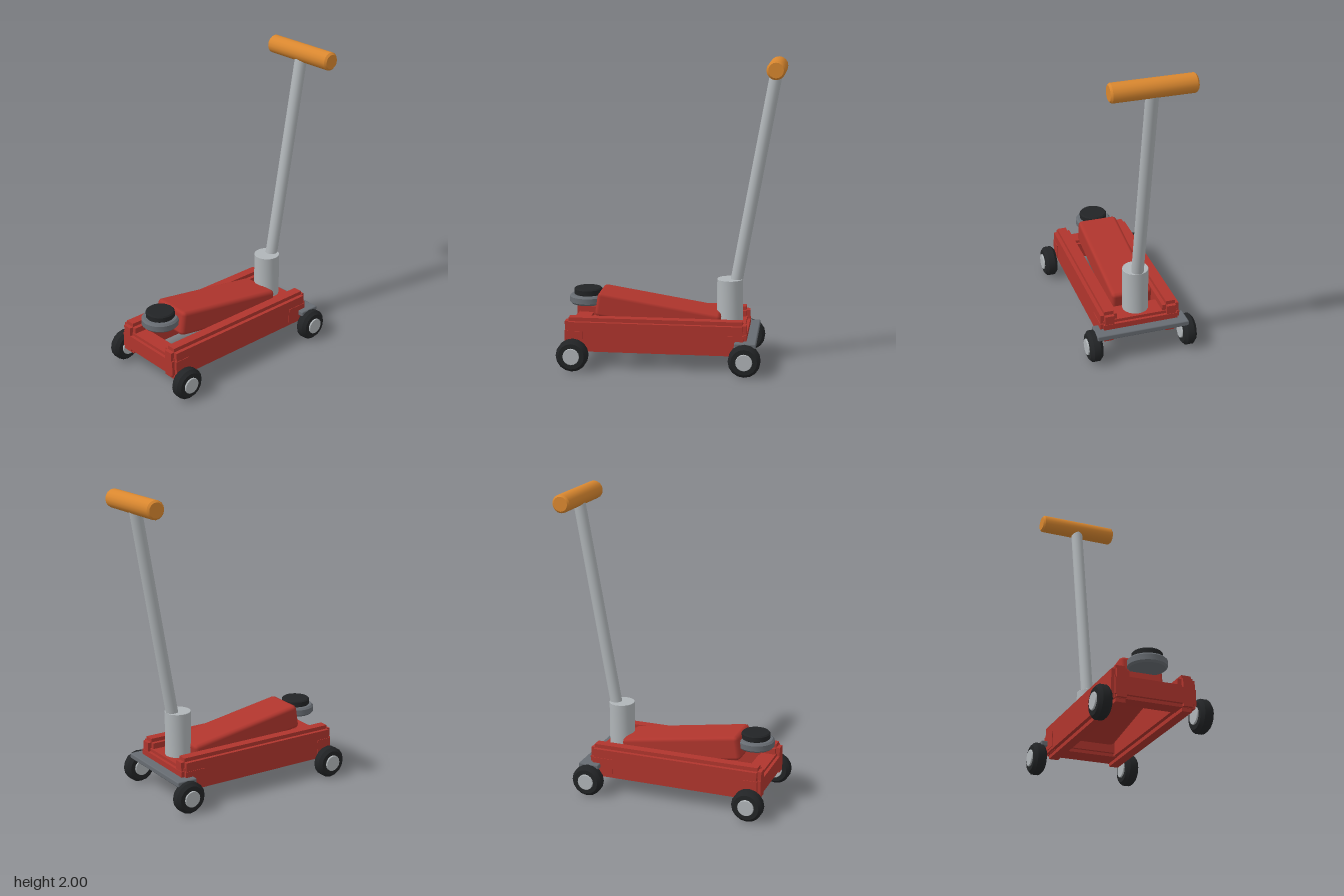
import * as THREE from 'three';
import { toCreasedNormals } from 'three/addons/utils/BufferGeometryUtils.js';
import { RoundedBoxGeometry } from 'three/addons/geometries/RoundedBoxGeometry.js';

const mat = (name, color) => {
  const m = new THREE.MeshStandardMaterial({ color });
  m.name = name;
  return m;
};

export function createModel() {
  const red = mat('red paint', 0xb0352d);
  const steel = mat('light steel', 0xb0b5b8);
  const darkSteel = mat('dark steel', 0x676c72);
  const rubber = mat('black rubber', 0x222426);
  const orange = mat('orange grip', 0xd9872f);

  const model = new THREE.Group();
  model.name = 'floorJack';

  const add = (name, geometry, material, x, y, z, parent = model) => {
    const mesh = new THREE.Mesh(geometry, material);
    mesh.name = name;
    mesh.position.set(x, y, z);
    parent.add(mesh);
    return mesh;
  };

  // Disc or rod along y with chamfered rims, centred on its origin
  const chamferedCylinder = (r, h, c, sides) => {
    const profile = [[0, -h / 2], [r - c, -h / 2], [r, -h / 2 + c], [r, h / 2 - c], [r - c, h / 2], [0, h / 2]];
    const lathe = new THREE.LatheGeometry(profile.map(([a, b]) => new THREE.Vector2(a, b)), sides);
    return toCreasedNormals(lathe, 0.6);
  };

  // Box with stepped edges: three crossing boxes, each full length on one axis
  const steppedBox = (name, size, step, x, y, z) => {
    const group = new THREE.Group();
    group.name = name;
    group.position.set(x, y, z);
    for (let axis = 0; axis < 3; axis++) {
      const s = size.map((v, i) => (i === axis ? v : v - 2 * step));
      add(name + 'Block', new THREE.BoxGeometry(...s), red, 0, 0, 0, group);
    }
    model.add(group);
  };

  // Frame: two side rails and two cross members
  for (const side of [-1, 1]) {
    steppedBox(side > 0 ? 'frontRail' : 'backRail', [1.18, 0.226, 0.112], 0.025, -0.097, 0.221, side * 0.21);
  }
  steppedBox('leadingCrossMember', [0.14, 0.14, 0.54], 0.02, -0.617, 0.2, 0);
  steppedBox('trailingCrossMember', [0.186, 0.14, 0.54], 0.02, 0.403, 0.2, 0);

  // Sloping lift arm
  add('liftArm', new RoundedBoxGeometry(0.82, 0.165, 0.277, 1, 0.026), red, -0.095, 0.333, 0).rotation.z = -0.16;

  // Saddle and its rubber pad
  add('saddle', chamferedCylinder(0.122, 0.06, 0.012, 24), darkSteel, -0.575, 0.408, 0);
  add('saddlePad', chamferedCylinder(0.094, 0.046, 0.008, 24), rubber, -0.574, 0.458, 0);

  // Wheels with hubs showing on both faces
  for (const x of [-0.625, 0.486]) {
    for (const side of [-1, 1]) {
      const wheel = new THREE.Group();
      wheel.name = 'wheel';
      wheel.position.set(x, 0.105, side * 0.319);
      wheel.rotation.x = Math.PI / 2;
      add('tire', chamferedCylinder(0.104, 0.084, 0.02, 16), rubber, 0, 0, 0, wheel);
      add('hub', chamferedCylinder(0.054, 0.104, 0.003, 16), steel, 0, 0, 0, wheel);
      model.add(wheel);
    }
  }

  // Flat bar above the trailing wheels
  add('axleBar', new RoundedBoxGeometry(0.14, 0.036, 0.62, 1, 0.008), darkSteel, 0.488, 0.195, 0);

  // Handle: socket, leaning tube and cross grip
  add('handleSocket', chamferedCylinder(0.085, 0.31, 0.002, 24), steel, 0.37, 0.41, 0);
  const foot = new THREE.Vector3(0.408, 0.53, 0);
  const head = new THREE.Vector3(0.653, 1.905, 0);
  const lean = head.clone().sub(foot);
  const tube = add('handleTube', new THREE.CylinderGeometry(0.04, 0.04, lean.length(), 16), steel, 0, 0, 0);
  tube.position.copy(foot).add(head).multiplyScalar(0.5);
  tube.quaternion.setFromUnitVectors(new THREE.Vector3(0, 1, 0), lean.normalize());
  add('handleGrip', chamferedCylinder(0.06, 0.536, 0.012, 16), orange, 0.66, 1.94, 0).rotation.x = Math.PI / 2;

  return model;
}
